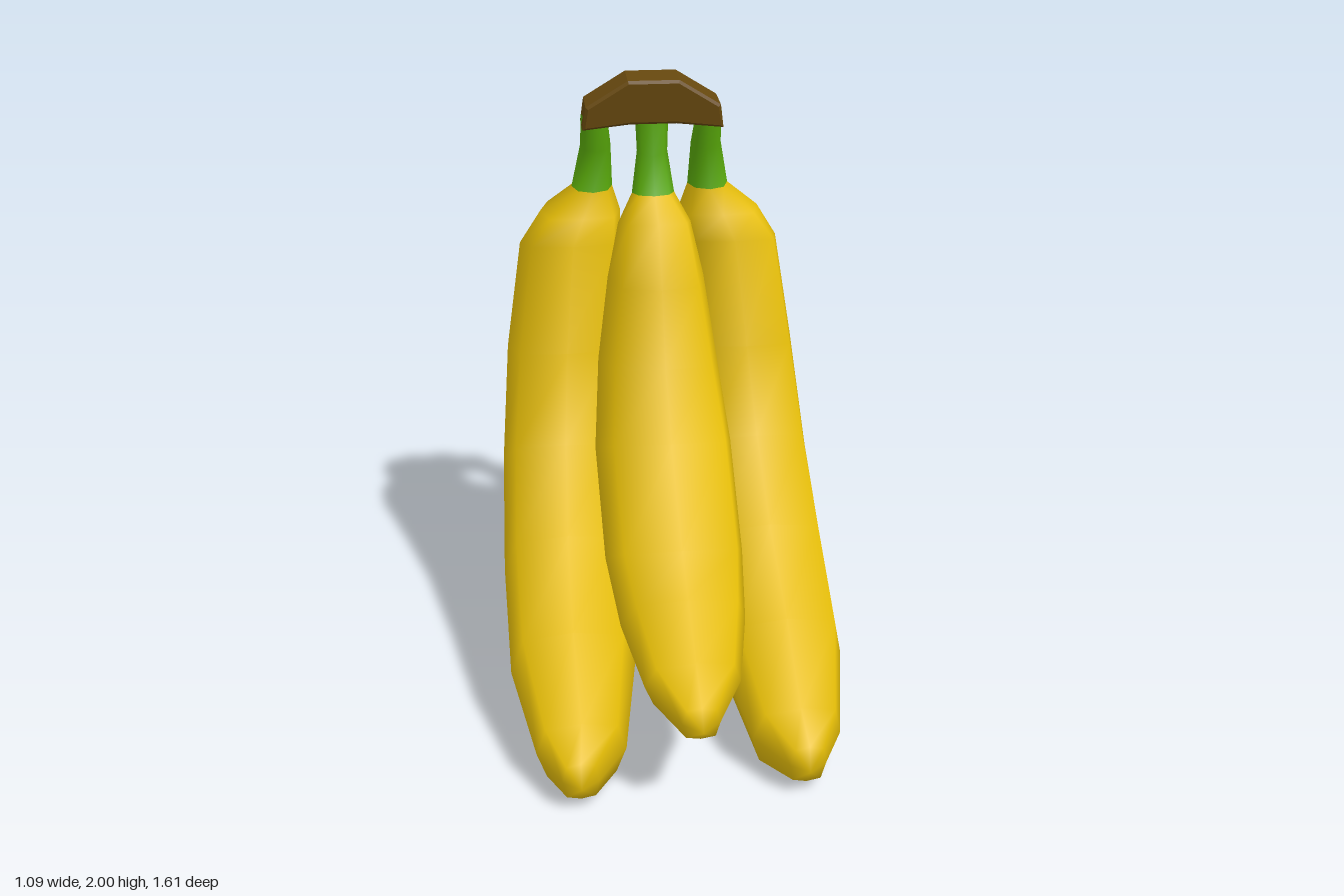
import * as THREE from 'three';

const STEM_RINGS = 2; // ring spans that belong to the green stem
const SIDES = 8;

// Each ring: [centre x, front z, front y, back z, back y, half width]
const middleRings = [
  [0, -0.46, 1.87, -0.53, 1.88, 0.055],
  [0, -0.445, 1.74, -0.53, 1.76, 0.05],
  [0, -0.41, 1.615, -0.52, 1.615, 0.07],
  [0, -0.30, 1.55, -0.56, 1.50, 0.12],
  [0, -0.21, 1.36, -0.585, 1.34, 0.16],
  [0, -0.12, 1.12, -0.58, 1.04, 0.2],
  [0, 0.04, 0.93, -0.41, 0.73, 0.227],
  [0, 0.32, 0.70, -0.09, 0.45, 0.222],
  [0, 0.46, 0.61, 0.24, 0.32, 0.195],
  [0, 0.64, 0.505, 0.52, 0.28, 0.145],
  [0, 0.77, 0.44, 0.75, 0.32, 0.055],
];
const sideRings = [
  [0.188, -0.46, 1.86, -0.525, 1.885, 0.042],
  [0.183, -0.475, 1.75, -0.58, 1.78, 0.05],
  [0.195, -0.495, 1.61, -0.635, 1.625, 0.068],
  [0.235, -0.455, 1.53, -0.72, 1.53, 0.135],
  [0.27, -0.42, 1.45, -0.80, 1.38, 0.172],
  [0.305, -0.35, 1.10, -0.80, 1.01, 0.195],
  [0.325, -0.23, 0.82, -0.60, 0.58, 0.208],
  [0.335, 0.0, 0.60, -0.27, 0.23, 0.212],
  [0.34, 0.30, 0.42, 0.13, 0.04, 0.2],
  [0.335, 0.57, 0.27, 0.48, 0.005, 0.138],
  [0.345, 0.665, 0.195, 0.64, 0.05, 0.055],
];

// Lofts the rings into one smooth skin closed at the tip
function bananaGeometry(rings, tip, mirror) {
  const pos = [];
  const index = [];
  rings.forEach(([x, fz, fy, bz, by, w], i) => {
    // Round stem; the fruit has fuller corners
    const [dc, ds] = i <= STEM_RINGS ? [0.72, 0.72] : [0.79, 0.86];
    const section = [[1, 0], [dc, ds], [0, 1], [-dc, ds], [-1, 0], [-dc, -ds], [0, -1], [dc, -ds]];
    for (const [c, s] of section) {
      pos.push(x * mirror + c * w, (fy + by) / 2 + s * (fy - by) / 2, (fz + bz) / 2 + s * (fz - bz) / 2);
    }
  });
  const apex = rings.length * SIDES;
  pos.push(tip[0] * mirror, tip[1], tip[2]);
  for (let i = 0; i < rings.length; i++) {
    for (let j = 0; j < SIDES; j++) {
      const a = i * SIDES + j, b = i * SIDES + (j + 1) % SIDES;
      if (i === rings.length - 1) index.push(a, b, apex);
      else index.push(a, b, b + SIDES, a, b + SIDES, a + SIDES);
    }
  }
  const geo = new THREE.BufferGeometry();
  geo.setAttribute('position', new THREE.Float32BufferAttribute(pos, 3));
  geo.setIndex(index);
  const stemCount = STEM_RINGS * SIDES * 6;
  geo.addGroup(0, stemCount, 0);
  geo.addGroup(stemCount, index.length - stemCount, 1);
  geo.computeVertexNormals();
  return geo;
}

export function createModel() {
  const material = (name, color) => {
    const m = new THREE.MeshStandardMaterial({ color });
    m.name = name;
    return m;
  };
  const yellow = material('yellowPeel', 0xe6be08);
  const green = material('greenStem', 0x56a40a);
  const brown = material('brownCrown', 0x66480e);

  const group = new THREE.Group();
  group.name = 'bananaBunch';
  const add = (name, geo, mat) => {
    const mesh = new THREE.Mesh(geo, mat);
    mesh.name = name;
    group.add(mesh);
    return mesh;
  };

  // Three bananas, each with a green stem
  const skin = [green, yellow];
  add('middleBanana', bananaGeometry(middleRings, [0, 0.38, 0.808], 1), skin);
  add('leftBanana', bananaGeometry(sideRings, [0.345, 0.12, 0.69], 1), skin);
  add('rightBanana', bananaGeometry(sideRings, [0.345, 0.12, 0.69], -1), skin);

  // Woody crown joining the stems
  const half = [[0.08, 0.08], [0.21, 0.0], [0.22, -0.062], [0.075, -0.045]];
  const outline = [...half, ...half.map(([x, y]) => [-x, y]).reverse()];
  const shape = new THREE.Shape(outline.map(([x, y]) => new THREE.Vector2(x, y)));
  const crownGeo = new THREE.ExtrudeGeometry(shape, {
    depth: 0.106, bevelEnabled: true, bevelSize: 0.009, bevelThickness: 0.009, bevelSegments: 1,
  });
  crownGeo.translate(0, 0, -0.053);
  const crown = add('crown', crownGeo, brown);
  crown.position.set(0, 1.905, -0.49);
  crown.rotation.x = 0.13;

  return group;
}
